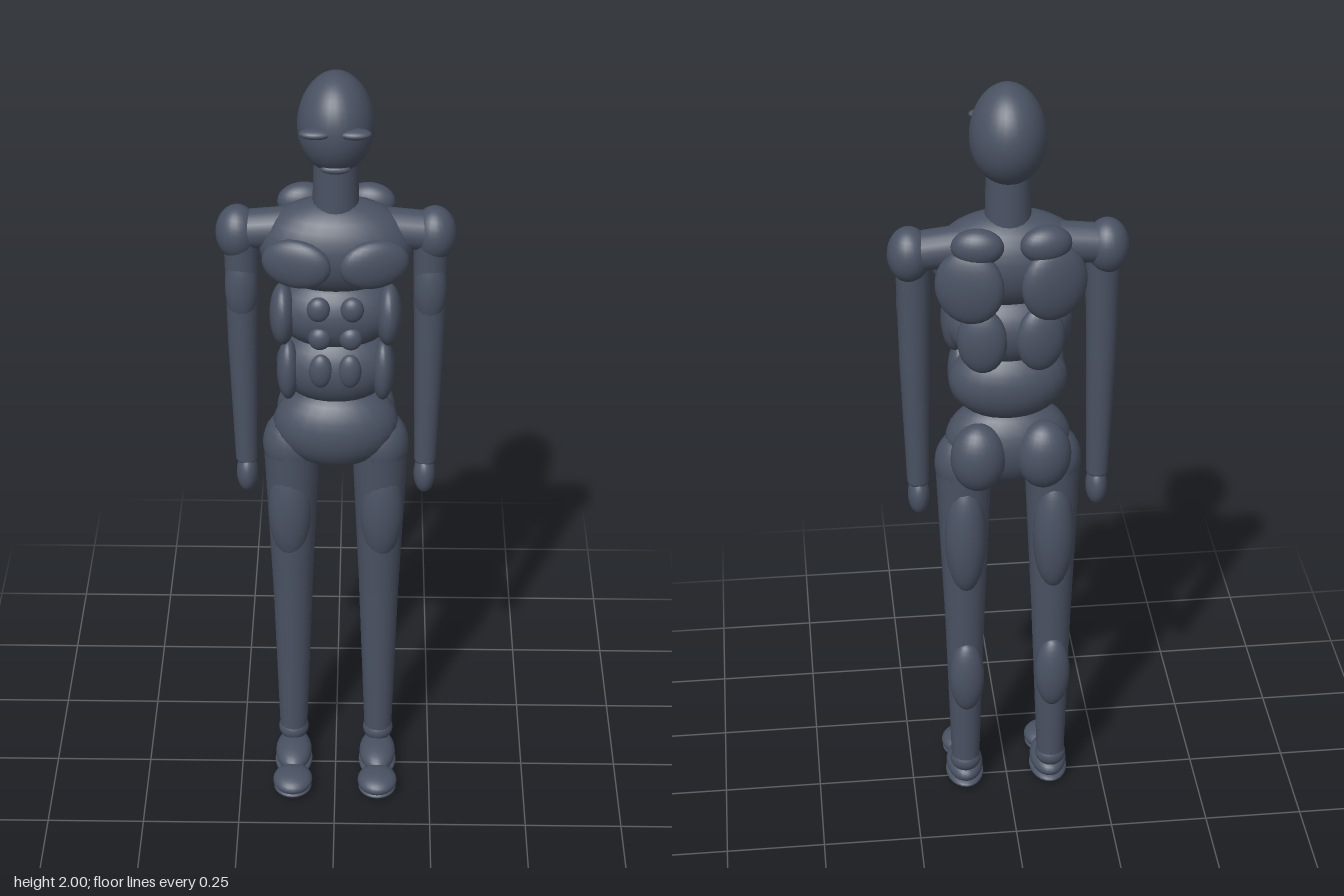
import * as THREE from 'three';

export function createModel() {
  const model = new THREE.Group();
  model.name = 'mannequin';
  const slate = new THREE.MeshStandardMaterial({ color: 0x4a5263 });
  slate.name = 'slate grey';

  const add = (name, geometry, parent = model) => {
    const mesh = new THREE.Mesh(geometry, slate);
    mesh.name = name;
    parent.add(mesh);
    return mesh;
  };

  // Ellipsoid given by centre, radii and optional rotation
  const blob = (name, centre, radii, rotation = [0, 0, 0], parent = model) => {
    const mesh = add(name, new THREE.SphereGeometry(1, 24, 16), parent);
    mesh.position.set(...centre);
    mesh.scale.set(...radii);
    mesh.rotation.set(...rotation);
    return mesh;
  };

  // Tapered cylinder from a to b
  const limb = (name, a, b, ra, rb, parent = model) => {
    const from = new THREE.Vector3(...a), to = new THREE.Vector3(...b);
    const axis = to.clone().sub(from);
    const mesh = add(name, new THREE.CylinderGeometry(rb, ra, axis.length(), 20), parent);
    mesh.position.copy(from).add(to).multiplyScalar(0.5);
    mesh.quaternion.setFromUnitVectors(new THREE.Vector3(0, 1, 0), axis.normalize());
    return mesh;
  };

  // Egg-shaped head, narrower at the crown
  const head = new THREE.SphereGeometry(1, 32, 24);
  const p = head.attributes.position;
  for (let i = 0; i < p.count; i++) {
    const y = p.getY(i);
    p.setXYZ(i, p.getX(i) * 0.09 * (1 - 0.06 * y), 1.88 + y * 0.12, p.getZ(i) * 0.107 - 0.04);
  }
  head.computeVertexNormals();
  add('head', head);
  blob('mouth', [0, 1.79, 0.025], [0.035, 0.012, 0.015]);
  limb('neck', [0, 1.63, -0.038], [0, 1.79, -0.038], 0.056, 0.052);

  // Trunk
  blob('chest', [0, 1.565, -0.035], [0.185, 0.12, 0.105]);
  blob('ribs', [0, 1.39, -0.035], [0.15, 0.1, 0.095]);
  blob('waist', [0, 1.24, -0.035], [0.145, 0.105, 0.095]);
  blob('pelvis', [0, 1.068, -0.03], [0.155, 0.115, 0.1]);

  // Everything that comes in left and right copies
  for (const s of [1, -1]) {
    const side = new THREE.Group();
    side.name = s > 0 ? 'leftSide' : 'rightSide';
    model.add(side);
    const b = (name, [x, y, z], r, [rx, ry, rz] = [0, 0, 0]) =>
      blob(name, [s * x, y, z], r, [rx, s * ry, s * rz], side);
    const l = (name, [ax, ay, az], [bx, by, bz], ra, rb) =>
      limb(name, [s * ax, ay, az], [s * bx, by, bz], ra, rb, side);

    // Face
    b('eye', [0.045, 1.892, 0.052], [0.038, 0.012, 0.021]);

    // Front of the trunk
    b('pectoral', [0.092, 1.557, 0.055], [0.085, 0.062, 0.03], [0, 0.28, 0]);
    b('upperAbdominal', [0.04, 1.43, 0.047], [0.028, 0.032, 0.02]);
    b('middleAbdominal', [0.037, 1.353, 0.05], [0.028, 0.03, 0.02]);
    b('lowerAbdominal', [0.035, 1.262, 0.05], [0.028, 0.045, 0.02]);
    b('upperOblique', [0.127, 1.39, -0.005], [0.032, 0.08, 0.06]);
    b('lowerOblique', [0.115, 1.24, 0.005], [0.028, 0.08, 0.045]);

    // Back
    b('trapezius', [0.08, 1.635, -0.122], [0.062, 0.045, 0.036], [0, -0.15, 0]);
    b('latissimus', [0.1, 1.535, -0.127], [0.083, 0.095, 0.035], [0, -0.3, 0]);
    b('lowerBack', [0.07, 1.385, -0.115], [0.06, 0.085, 0.033], [0, -0.2, 0]);
    b('glute', [0.08, 1.06, -0.108], [0.068, 0.09, 0.057]);

    // Arm
    l('collar', [0.1, 1.605, -0.045], [0.215, 1.595, -0.047], 0.05, 0.048);
    b('shoulder', [0.234, 1.588, -0.047], [0.052, 0.068, 0.057]);
    l('upperArm', [0.225, 1.585, -0.04], [0.226, 1.29, -0.038], 0.042, 0.036);
    b('biceps', [0.226, 1.45, -0.03], [0.04, 0.1, 0.037]);
    b('elbow', [0.226, 1.29, -0.038], [0.036, 0.036, 0.036]);
    l('forearm', [0.226, 1.29, -0.038], [0.223, 0.96, -0.034], 0.036, 0.027);
    b('wrist', [0.223, 0.962, -0.034], [0.027, 0.02, 0.027]);
    b('hand', [0.222, 0.918, -0.032], [0.027, 0.053, 0.038]);

    // Leg
    b('hip', [0.11, 1.005, -0.035], [0.072, 0.09, 0.07]);
    l('thigh', [0.11, 1.005, -0.035], [0.111, 0.56, -0.04], 0.07, 0.051);
    b('quadriceps', [0.115, 0.825, -0.01], [0.055, 0.155, 0.047]);
    b('hamstring', [0.11, 0.81, -0.077], [0.052, 0.16, 0.05]);
    b('knee', [0.111, 0.56, -0.04], [0.051, 0.051, 0.051]);
    l('shin', [0.111, 0.56, -0.04], [0.113, 0.09, -0.04], 0.051, 0.036);
    b('calf', [0.111, 0.385, -0.08], [0.045, 0.105, 0.037]);
    b('ankle', [0.113, 0.092, -0.04], [0.04, 0.035, 0.04]);

    // Foot
    b('foot', [0.112, 0.045, 0.005], [0.048, 0.034, 0.08]);
    b('sole', [0.112, 0.017, 0.005], [0.05, 0.017, 0.078]);
    b('toes', [0.112, 0.034, 0.112], [0.052, 0.027, 0.057]);
    b('toeSole', [0.112, 0.015, 0.112], [0.05, 0.015, 0.053]);
  }
  return model;
}
